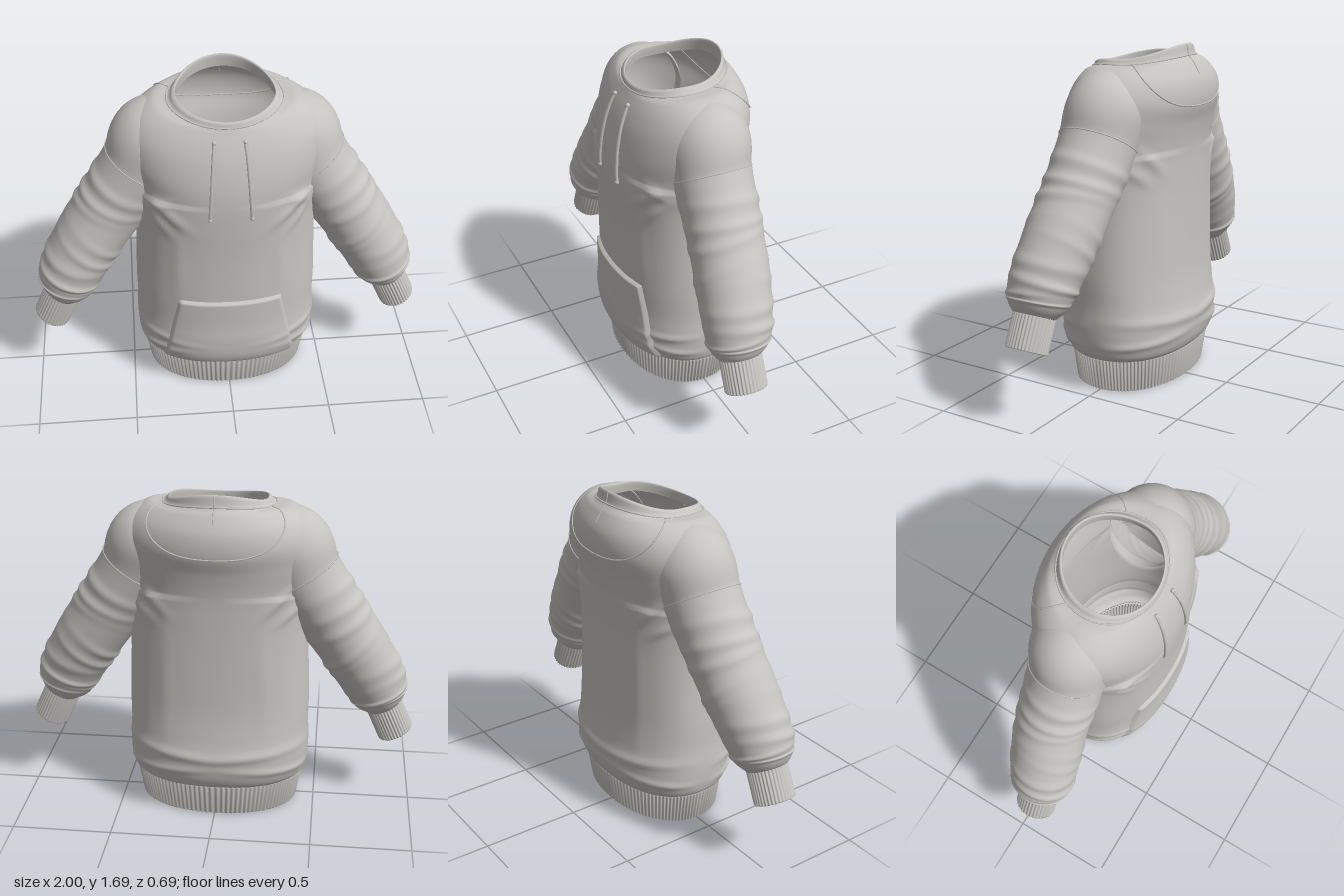
import * as THREE from 'three';

const fabric = new THREE.MeshStandardMaterial({ color: 0xc6c4c0, side: THREE.DoubleSide });
fabric.name = 'grey fabric';

const TAU = Math.PI * 2;
const gauss = (d, w) => Math.exp(-((d / w) ** 2));
const spow = (c, p) => Math.sign(c) * Math.abs(c) ** p;

// Smooth (Catmull-Rom) interpolation through rows of numbers
function sample(rows, t) {
  const last = rows.length - 1;
  const i = Math.min(Math.max(Math.floor(t), 0), last - 1), f = t - i;
  const [p, q, r, s] = [Math.max(i - 1, 0), i, i + 1, Math.min(i + 2, last)].map((k) => rows[k]);
  return q.map((_, k) => {
    const m0 = (r[k] - p[k]) / 2, m1 = (s[k] - q[k]) / 2, d = r[k] - q[k];
    return q[k] + f * (m0 + f * (3 * d - 2 * m0 - m1 + f * (m0 + m1 - 2 * d)));
  });
}

// Surface from a point function; u wraps around when closed
function surface(name, fn, nu, nv, vMax, closed = true) {
  const pos = [], idx = [], cols = closed ? nu : nu + 1;
  for (let j = 0; j <= nv; j++) {
    for (let i = 0; i < cols; i++) {
      const p = fn(i / nu, (j / nv) * vMax);
      pos.push(p.x, p.y, p.z);
    }
  }
  for (let j = 0; j < nv; j++) {
    for (let i = 0; i < nu; i++) {
      const a = j * cols + i, b = j * cols + ((i + 1) % cols), c = a + cols, d = b + cols;
      idx.push(a, c, b, b, c, d);
    }
  }
  const g = new THREE.BufferGeometry();
  g.setAttribute('position', new THREE.Float32BufferAttribute(pos, 3));
  g.setIndex(idx);
  g.computeVertexNormals();
  return named(name, g);
}

function named(name, geometry) {
  const m = new THREE.Mesh(geometry, fabric);
  m.name = name;
  return m;
}

function cord(name, points, radius, closed = false) {
  const curve = new THREE.CatmullRomCurve3(points, closed);
  return named(name, new THREE.TubeGeometry(curve, points.length * 3, radius, 6, closed));
}

// Body rings: y at front, side, back; half width; front z; back z
const bodyRows = [
  [0.16, 0.16, 0.16, 0.41, 0.28, -0.275],
  [0.19, 0.19, 0.19, 0.445, 0.305, -0.30],
  [0.25, 0.25, 0.25, 0.46, 0.325, -0.32],
  [0.35, 0.35, 0.35, 0.465, 0.33, -0.325],
  [0.45, 0.45, 0.45, 0.46, 0.325, -0.31],
  [0.60, 0.60, 0.60, 0.46, 0.325, -0.295],
  [0.86, 0.86, 0.86, 0.45, 0.325, -0.29],
  [1.05, 1.05, 1.05, 0.45, 0.33, -0.29],
  [1.19, 1.20, 1.20, 0.465, 0.33, -0.295],
  [1.29, 1.35, 1.32, 0.49, 0.32, -0.315],
  [1.40, 1.47, 1.42, 0.48, 0.295, -0.342],
  [1.48, 1.55, 1.52, 0.43, 0.265, -0.335],
  [1.54, 1.60, 1.60, 0.35, 0.235, -0.295],
  [1.565, 1.605, 1.64, 0.275, 0.222, -0.262],
  [1.585, 1.625, 1.69, 0.25, 0.215, -0.25],
  [1.587, 1.627, 1.688, 0.235, 0.205, -0.238],
  [1.54, 1.58, 1.63, 0.24, 0.205, -0.24],
];

// Cloth folds: |x|, y, angle, half length, half width, height, face (1 front, -1 back)
const folds = [
  [0.28, 1.12, 0.72, 0.10, 0.025, 0.035, 1],
  [0.33, 1.06, 0.9, 0.08, 0.02, 0.022, 1],
  [0.33, 1.17, -0.5, 0.06, 0.025, 0.025, 1],
  [0.30, 1.17, 0.8, 0.09, 0.022, 0.03, -1],
  [0.36, 1.10, 0.7, 0.07, 0.02, 0.025, -1],
  [0.25, 0.80, 1.6, 0.20, 0.035, 0.015, 1],
  [0.24, 0.75, 1.6, 0.30, 0.04, 0.015, -1],
  [0.34, 0.33, 0.1, 0.16, 0.02, 0.025, 1],
  [0.38, 0.25, -0.1, 0.14, 0.018, 0.025, 1],
  [0.10, 0.35, 0.08, 0.30, 0.025, 0.03, -1],
  [0.30, 0.26, -0.08, 0.25, 0.02, 0.025, -1],
];

function bodyPoint(u, t, lift = 0) {
  const [yf, ys, yb, a, zf, zb] = sample(bodyRows, t);
  const c = Math.cos(u * TAU), s = Math.sin(u * TAU);
  const p = 2 / (t < 8 ? 2.25 : 2.05);
  const x = a * spow(c, p), z = (s > 0 ? zf : -zb) * spow(s, p);
  const y = ys + ((s > 0 ? yf : yb) - ys) * s * s;
  let k = 1 + lift / Math.hypot(x, z);
  for (const [fx, fy, ang, len, wid, h, face] of folds) {
    if (face * s < 0) continue;
    const dx = Math.abs(x) - fx, dy = y - fy;
    const along = dx * Math.cos(ang) + dy * Math.sin(ang);
    const across = dy * Math.cos(ang) - dx * Math.sin(ang);
    k += h * gauss(along, len) * gauss(across, wid) * Math.min(1, Math.abs(s) * 2);
  }
  return new THREE.Vector3(x * k, y, z * k);
}

// Front surface point at a given x and y
function frontPoint(x, y, lift) {
  let lo = 0, hi = 14;
  for (let i = 0; i < 24; i++) {
    const mid = (lo + hi) / 2;
    if (sample(bodyRows, mid)[0] < y) lo = mid; else hi = mid;
  }
  const a = sample(bodyRows, lo)[3], p = 2 / (lo < 8 ? 2.25 : 2.05);
  const u = Math.acos(spow(x / a, 1 / p)) / TAU;
  const q = bodyPoint(u, lo);
  return new THREE.Vector3(x, y, q.z + lift);
}

// Sleeve rings: centre x, y, z; radius across the arm; radius front to back
const sleeveRows = [
  [0.26, 1.42, -0.02, 0.17, 0.17],
  [0.34, 1.385, -0.02, 0.21, 0.20],
  [0.41, 1.25, -0.01, 0.195, 0.19],
  [0.54, 1.06, 0, 0.18, 0.18],
  [0.68, 0.855, 0.02, 0.173, 0.178],
  [0.785, 0.67, 0.045, 0.162, 0.165],
  [0.825, 0.575, 0.055, 0.14, 0.145],
  [0.845, 0.525, 0.06, 0.098, 0.108],
  [0.85, 0.515, 0.06, 0.08, 0.09],
];

// Sleeve wrinkles: position, width, height, direction around the arm
const wrinkles = [
  [2.6, 0.12, 0.05, 0.6], [3.0, 0.10, 0.06, 0.2], [3.3, 0.09, 0.05, 5.6], [3.9, 0.10, 0.06, 3.4],
  [4.2, 0.09, 0.05, 2.6], [4.6, 0.14, 0.05, 0.4], [5.1, 0.13, 0.07, 1.2], [5.6, 0.12, 0.06, 4.6], [5.9, 0.1, 0.06, 0],
];

function sleevePoint(side, u, t, lift = 0) {
  const [x, y, z, r, rz] = sample(sleeveRows, t);
  const b = sample(sleeveRows, Math.max(t - 0.05, 0)), e = sample(sleeveRows, Math.min(t + 0.05, 8));
  const tx = e[0] - b[0], ty = e[1] - b[1], l = Math.hypot(tx, ty);
  const th = u * TAU;
  let k = 1 + lift / r;
  for (const [t0, w, h, dir] of wrinkles) {
    const c = Math.cos(th - dir);
    k += h * gauss(t - t0 - 0.12 * c, w) * (0.55 + 0.45 * c);
  }
  const n = r * k * Math.cos(th);
  return new THREE.Vector3(side * (x - (ty / l) * n), y + (tx / l) * n, z - side * rz * k * Math.sin(side * side * th));
}

// Ribbed knit bands: distance along, scale (outer wall, rim, inner wall)
const bandRows = [[0, 0.97], [0.04, 1], [0.5, 1], [0.97, 1], [1, 0.98], [1, 0.94], [0.95, 0.92], [0.5, 0.92], [0, 0.92]];
const band = (v) => {
  const i = Math.min(Math.floor(v), 7), f = v - i;
  return bandRows[i].map((q, k) => q + (bandRows[i + 1][k] - q) * f);
};

function hemPoint(u, v) {
  const [d, k] = band(v), th = -u * TAU;
  const s = Math.sin(th), w = k * (1 + 0.011 * Math.cos(th * 110));
  return new THREE.Vector3(
    (0.432 - 0.03 * d) * w * spow(Math.cos(th), 0.93),
    0.172 - 0.17 * d,
    (s > 0 ? 0.297 - 0.017 * d : 0.29 - 0.025 * d) * w * spow(s, 0.93));
}

function cuffPoint(side, u, v) {
  const [d, k] = band(v), th = u * TAU;
  const w = k * (1 + 0.025 * Math.cos(th * 36)), n = 0.092 * w * Math.cos(th);
  return new THREE.Vector3(
    side * (0.843 + 0.072 * d + 0.9 * n), 0.53 - 0.16 * d + 0.43 * n, 0.06 - side * 0.102 * w * Math.sin(th));
}

export function createModel() {
  const model = new THREE.Group();
  model.name = 'sweatshirt';
  const range = (n, f) => Array.from({ length: n + 1 }, (_, i) => f(i / n));

  model.add(surface('body', (u, v) => bodyPoint(u, v), 144, 160, 16));
  model.add(surface('hemBand', hemPoint, 660, 8, 8));

  // Front pocket, following the belly with its edges tucked in
  model.add(surface('pocket', (u, v) => {
    const edge = u < 0.01 || u > 0.99 || v < 0.01 || v > 0.99;
    const half = 0.35 - 0.09 * v;
    return frontPoint(half * (1 - 2 * u), 0.18 + 0.43 * v, edge ? -0.01 : 0.018);
  }, 48, 40, 1, false));

  // Collar seam and back yoke seams
  model.add(cord('collarSeam', range(48, (f) => bodyPoint(f, 13, 0.001)).slice(0, -1), 0.004, true));
  model.add(cord('yokeSeam', range(40, (f) => {
    const w = 2 * f - 1;
    return bodyPoint(0.75 + 0.19 * w, 9.9 + 3.1 * Math.abs(w) ** 3, 0.001);
  }), 0.004));
  model.add(cord('yokeCentreSeam', range(10, (f) => bodyPoint(0.75, 11.4 + 2.6 * f, 0.001)), 0.003));

  for (const side of [1, -1]) {
    const label = side > 0 ? 'left' : 'right';
    // Mirrored sleeves keep outward winding because u turns the other way
    model.add(surface(label + 'Sleeve', (u, v) => sleevePoint(side, u, v), 64, 150, 8));
    model.add(surface(label + 'Cuff', (u, v) => cuffPoint(side, u, v), 216, 8, 8));
    model.add(cord(label + 'SleeveSeam', range(40, (f) => sleevePoint(side, f, 2, 0.001)).slice(0, -1), 0.003, true));

    // Drawstring with knotted ends
    const string = range(8, (f) => frontPoint(side * (0.072 + 0.028 * f ** 0.8), 1.51 - 0.38 * f, 0.007));
    model.add(cord(label + 'Drawstring', string, 0.008));
    for (const end of [string[0], string[8]]) {
      const knot = named(label + 'DrawstringEnd', new THREE.SphereGeometry(0.011, 10, 8));
      knot.position.copy(end);
      model.add(knot);
    }
  }
  return model;
}
